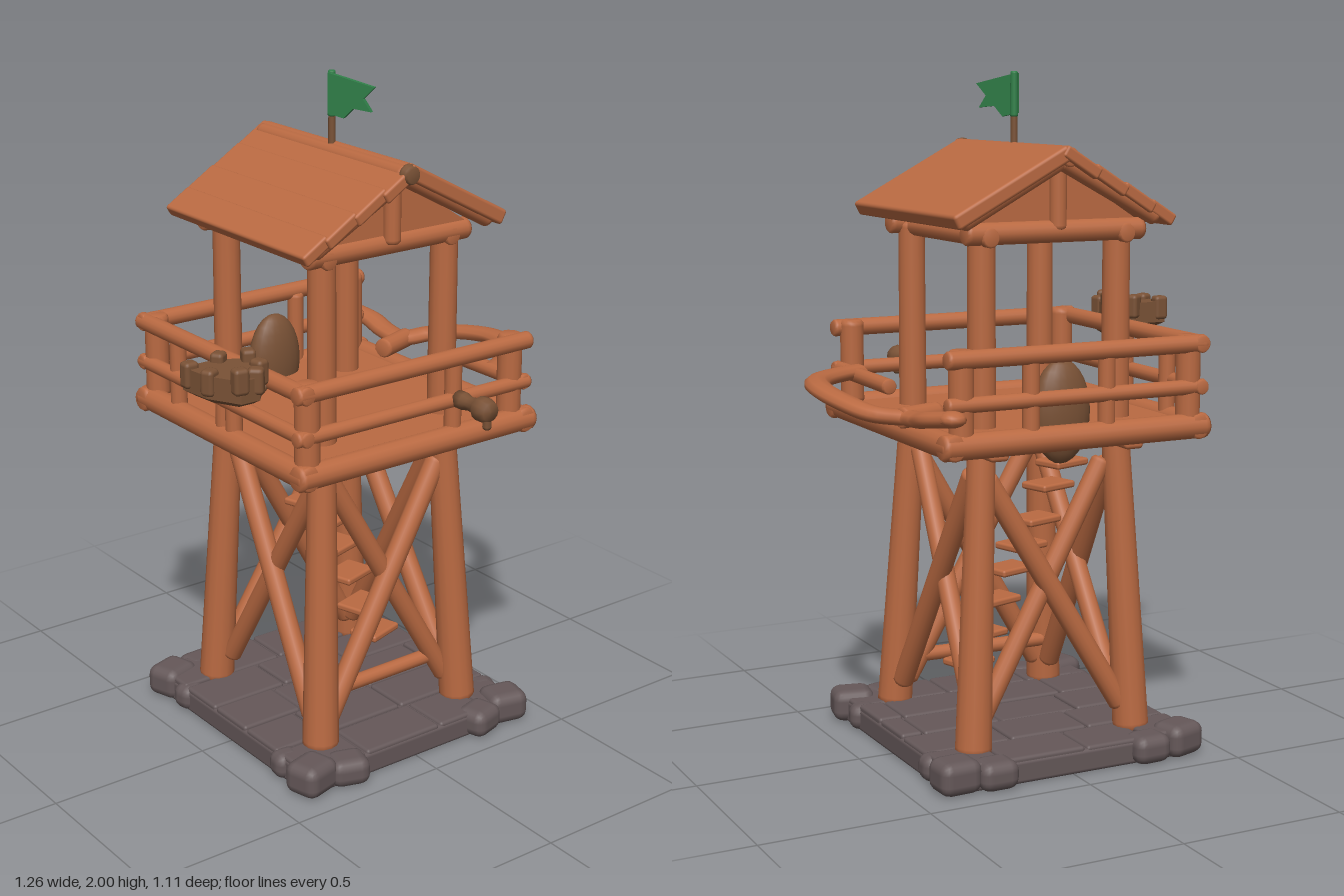
import * as THREE from 'three';
import { RoundedBoxGeometry } from 'three/addons/geometries/RoundedBoxGeometry.js';
import { ConvexGeometry } from 'three/addons/geometries/ConvexGeometry.js';

const material = (name, color) => Object.assign(new THREE.MeshStandardMaterial({ color }), { name });

export function createModel() {
  const wood = material('wood', 0xba6a42);
  const darkWood = material('dark wood', 0x7a5236);
  const stone = material('stone', 0x655859);
  const green = material('flag green', 0x318049);
  green.side = THREE.DoubleSide;

  const model = new THREE.Group();
  model.name = 'watchtower';
  let seed = 7;
  const rand = () => (seed = (seed * 16807) % 2147483647) / 2147483647;
  const V = (x, y, z) => new THREE.Vector3(x, y, z);

  function add(name, geometry, mat, pos = [0, 0, 0], parent = model) {
    const mesh = new THREE.Mesh(geometry, mat);
    mesh.name = name;
    mesh.position.set(...pos);
    parent.add(mesh);
    return mesh;
  }

  // Round log with softened ends, running from a to b
  function log(name, a, b, r, rEnd = r, mat = wood) {
    const from = V(...a), to = V(...b), len = from.distanceTo(to);
    const profile = [[0, 0], [r * 0.8, 0], [r, r * 0.25], [r, r * 0.5],
      [rEnd, len - rEnd * 0.5], [rEnd, len - rEnd * 0.25], [rEnd * 0.8, len], [0, len]];
    const geometry = new THREE.LatheGeometry(profile.map(p => new THREE.Vector2(...p)), 14);
    const mesh = add(name, geometry, mat, a);
    mesh.quaternion.setFromUnitVectors(V(0, 1, 0), to.sub(from).normalize());
    return mesh;
  }
  const block = (name, size, pos, mat = wood, r = 0.012, parent = model) =>
    add(name, new RoundedBoxGeometry(...size, 2, Math.min(r, Math.min(...size) * 0.45)), mat, pos, parent);

  // Stone base: slab, paving and lumpy corner rocks
  block('baseSlab', [0.8, 0.07, 0.82], [0, 0.035, 0], stone);
  for (let row = 0; row < 5; row++) {
    let x = -0.4;
    while (x < 0.39) {
      let w = 0.16 + rand() * 0.14;
      if (x + w > 0.33) w = 0.4 - x;
      block('pavingStone', [w - 0.006, 0.06, 0.158], [x + w / 2, 0.046 + rand() * 0.007, -0.328 + row * 0.164], stone, 0.01);
      x += w;
    }
  }
  for (const sx of [-1, 1]) for (const sz of [-1, 1]) {
    for (const [x, z, s, h] of [[0.365, 0.375, 0.13, 0.098], [0.25, 0.395, 0.12, 0.085], [0.375, 0.26, 0.09, 0.08]]) {
      const rock = block('cornerRock', [s, h, s * 0.9], [sx * x, h / 2, sz * z], stone, 0.032);
      rock.rotation.y = (rand() - 0.5) * 0.7;
    }
  }

  // Splayed legs, upper posts and short bearers under the deck
  for (const sx of [-1, 1]) for (const sz of [-1, 1]) {
    const px = sx * 0.217 - 0.006, pz = sz * 0.235;
    log('leg', [sx * 0.262, 0.06, sz * 0.278], [px, 0.99, pz], 0.054, 0.041);
    log('upperPost', [px, 0.96, pz], [px, 1.56, pz], 0.042, 0.04);
    block('bearer', [0.24, 0.035, 0.06], [px, 0.945, pz]);
    block('bearer', [0.06, 0.035, 0.24], [px, 0.943, pz]);
  }

  // Crossed braces on all four sides
  for (const s of [-1, 1]) {
    log('frontBackBrace', [-0.23, 0.14, s * 0.27], [0.2, 0.86, s * 0.235], 0.032);
    log('frontBackBrace', [0.23, 0.14, s * 0.25], [-0.19, 0.88, s * 0.22], 0.03);
    log('sideBrace', [s * 0.255, 0.14, 0.23], [s * 0.22, 0.87, -0.2], 0.032);
    log('sideBrace', [s * 0.235, 0.15, -0.23], [s * 0.205, 0.88, 0.2], 0.03);
  }
  log('lowerBar', [-0.24, 0.21, 0.24], [0.22, 0.215, 0.24], 0.022);

  // Stair treads climbing under the deck
  [0.24, 0.33, 0.435, 0.53, 0.605, 0.685, 0.79, 0.86].forEach((y, i) => {
    const t = i / 7;
    const tread = block('stairTread', [0.13, 0.022, 0.1], [0.12 - 0.23 * t, y, 0.04 - 0.16 * t], wood, 0.008);
    tread.rotation.y = 0.3;
  });

  // Deck floor and edge logs
  block('deckFloor', [0.8, 0.045, 0.82], [-0.005, 0.985, -0.005]);
  for (const z of [-0.405, 0.395]) log('deckEdge', [-0.43, 0.99, z], [0.42, 0.99, z], 0.037);
  for (const x of [-0.395, 0.385]) log('deckEdge', [x, 0.99, -0.435], [x, 0.99, 0.425], 0.037);

  // Railings on the front, back and right; the left side is open
  for (const [y, r] of [[1.23, 0.026], [1.105, 0.022]]) {
    log('frontRail', [-0.43, y, 0.395], [0.405, y, 0.395], r);
    log('backRail', [-0.42, y, -0.41], [0.405, y, -0.41], r);
    log('rightRail', [-0.4, y, -0.435], [-0.4, y, 0.42], r);
  }
  for (const [x, z] of [[-0.375, 0.375], [0.35, 0.375], [-0.375, -0.39], [0.35, -0.39]])
    log('cornerRailPost', [x, 1, z], [x, 1.255, z], 0.036);
  for (const [x, z] of [[0.13, 0.385], [-0.1, -0.4], [0.14, -0.4], [-0.39, 0.04], [-0.39, -0.01], [-0.39, -0.25]])
    log('railPost', [x, 1, z], [x, 1.225, z], 0.025);

  // Bent broken rail on the open side, flattened in height
  const flat = 0.6;
  const bend = [[0.37, 1.11, 0.28], [0.45, 1.11, 0.24], [0.55, 1.11, 0.15], [0.59, 1.105, 0.03],
    [0.575, 1.085, -0.12], [0.53, 1.065, -0.21], [0.45, 1.055, -0.25], [0.445, 1.06, -0.33], [0.455, 1.075, -0.42], [0.437, 1.09, -0.52]];
  const curve = new THREE.CatmullRomCurve3(bend.map(([x, y, z]) => V(x, y / flat, z)));
  add('bentRail', new THREE.TubeGeometry(curve, 60, 0.038, 10).scale(1, flat, 1), wood);
  const tip = new THREE.SphereGeometry(0.038, 12, 8).scale(1, flat, 1);
  add('bentRailTip', tip, wood, bend[bend.length - 1]);
  log('bentRailStub', [0.33, 1.055, -0.2], [0.47, 1.055, -0.25], 0.03);
  log('frontLeftRailStub', [0.385, 1.105, 0.41], [0.385, 1.1, 0.01], 0.023);

  // Beam ring under the roof
  for (const z of [-0.265, 0.25]) log('roofBeam', [-0.29, 1.555, z], [0.28, 1.555, z], 0.032);
  for (const x of [-0.225, 0.21]) log('roofBeam', [x, 1.545, -0.3], [x, 1.545, 0.28], 0.028);

  // Gable walls, king posts and rafters
  const gable = new THREE.Shape([[-0.29, 1.57], [0.28, 1.57], [0, 1.755]].map(p => new THREE.Vector2(...p)));
  for (const s of [-1, 1]) {
    add('gable', new THREE.ExtrudeGeometry(gable, { depth: 0.03, bevelEnabled: false }), wood, [0, 0, s * 0.25 - 0.015]);
    log('kingPost', [-0.01, 1.56, s * 0.275], [-0.01, 1.76, s * 0.275], 0.025);
    for (const sx of [-1, 1]) log('rafter', [sx * 0.31, 1.588, s * 0.31], [0, 1.755, s * 0.31], 0.026);
  }
  log('ridgeLog', [-0.015, 1.765, -0.345], [-0.015, 1.765, 0.345], 0.028);
  log('ridgeLogEnd', [-0.015, 1.77, 0.34], [-0.015, 1.77, 0.375], 0.03, 0.026, darkWood);

  // Roof: overlapping planks on one slope, one broad sheet on the other
  const pitch = 0.49;
  const slopes = [1, -1].map(s => {
    const slope = new THREE.Group();
    slope.name = s > 0 ? 'plankedSlope' : 'plainSlope';
    slope.position.y = 1.8;
    slope.rotation.z = s * pitch;
    model.add(slope);
    return slope;
  });
  [[0, 0.13, 0.725], [0.11, 0.125, 0.71], [0.22, 0.12, 0.7], [0.325, 0.095, 0.685]].forEach(([start, w, len], i) => {
    const plank = block('roofPlank', [w, 0.036, len], [-start - w / 2, -0.022 - i * 0.001, 0.005], wood, 0.008, slopes[0]);
    plank.rotation.z = 0.07;
  });
  block('roofSheet', [0.4, 0.045, 0.7], [0.2, -0.023, -0.003], wood, 0.01, slopes[1]);

  // Flag on its pole, swung toward the front left
  log('flagPoleBase', [-0.01, 1.77, -0.005], [-0.01, 1.88, -0.005], 0.011, 0.01, darkWood);
  log('flagPole', [-0.01, 1.87, -0.005], [-0.01, 2, -0.005], 0.012, 0.011, green);
  const cloth = new THREE.Shape([[0, 1.995], [0.05, 1.985], [0.145, 1.965], [0.11, 1.93], [0.135, 1.895], [0.08, 1.9], [0.05, 1.87], [0, 1.88]]
    .map(p => new THREE.Vector2(...p)));
  const flag = add('flag', new THREE.ExtrudeGeometry(cloth, { depth: 0.014, bevelEnabled: false }), green, [-0.015, 0, -0.008]);
  flag.rotation.y = -1.1;

  // Peg jutting from the front rail
  const pegProfile = [[0, 0], [0.026, 0], [0.026, 0.03], [0.02, 0.05], [0.024, 0.08], [0.036, 0.095], [0.036, 0.12], [0.028, 0.14], [0, 0.142]];
  const peg = add('peg', new THREE.LatheGeometry(pegProfile.map(p => new THREE.Vector2(...p)), 12), darkWood, [0.13, 1.11, 0.41]);
  peg.rotation.x = Math.PI / 2;
  block('pegDrip', [0.025, 0.055, 0.025], [0.13, 1.08, 0.535], darkWood);

  // Ragged wooden bucket hung beyond the right rail
  const outline = [[-0.62, 0.14], [-0.51, 0.14], [-0.43, 0.19], [-0.43, 0.25], [-0.5, 0.335], [-0.56, 0.335], [-0.61, 0.24]];
  const lump = outline.flatMap(([x, z]) => [V(x, 1.22, z), V(x, 1.285, z), V(-0.525 + (x + 0.525) * 0.75, 1.205, 0.235 + (z - 0.235) * 0.75)]);
  add('bucket', new ConvexGeometry(lump), darkWood);
  outline.forEach(([x, z], i) => {
    const tooth = block('bucketRim', [0.045, 0.075, 0.04], [-0.525 + (x + 0.525) * 0.86, 1.265 + (i % 3) * 0.008, 0.235 + (z - 0.235) * 0.86], darkWood);
    tooth.rotation.y = i * 0.6;
  });
  const hook = new THREE.CatmullRomCurve3([V(-0.53, 1.215, 0.24), V(-0.48, 1.19, 0.24), V(-0.44, 1.205, 0.24), V(-0.41, 1.235, 0.24)]);
  add('bucketHook', new THREE.TubeGeometry(hook, 16, 0.014, 8), darkWood);

  // Sack slumped against the back rail
  add('sack', new THREE.SphereGeometry(1, 20, 14).scale(0.09, 0.15, 0.05), darkWood, [0.005, 1.05, -0.325]);

  return model;
}
